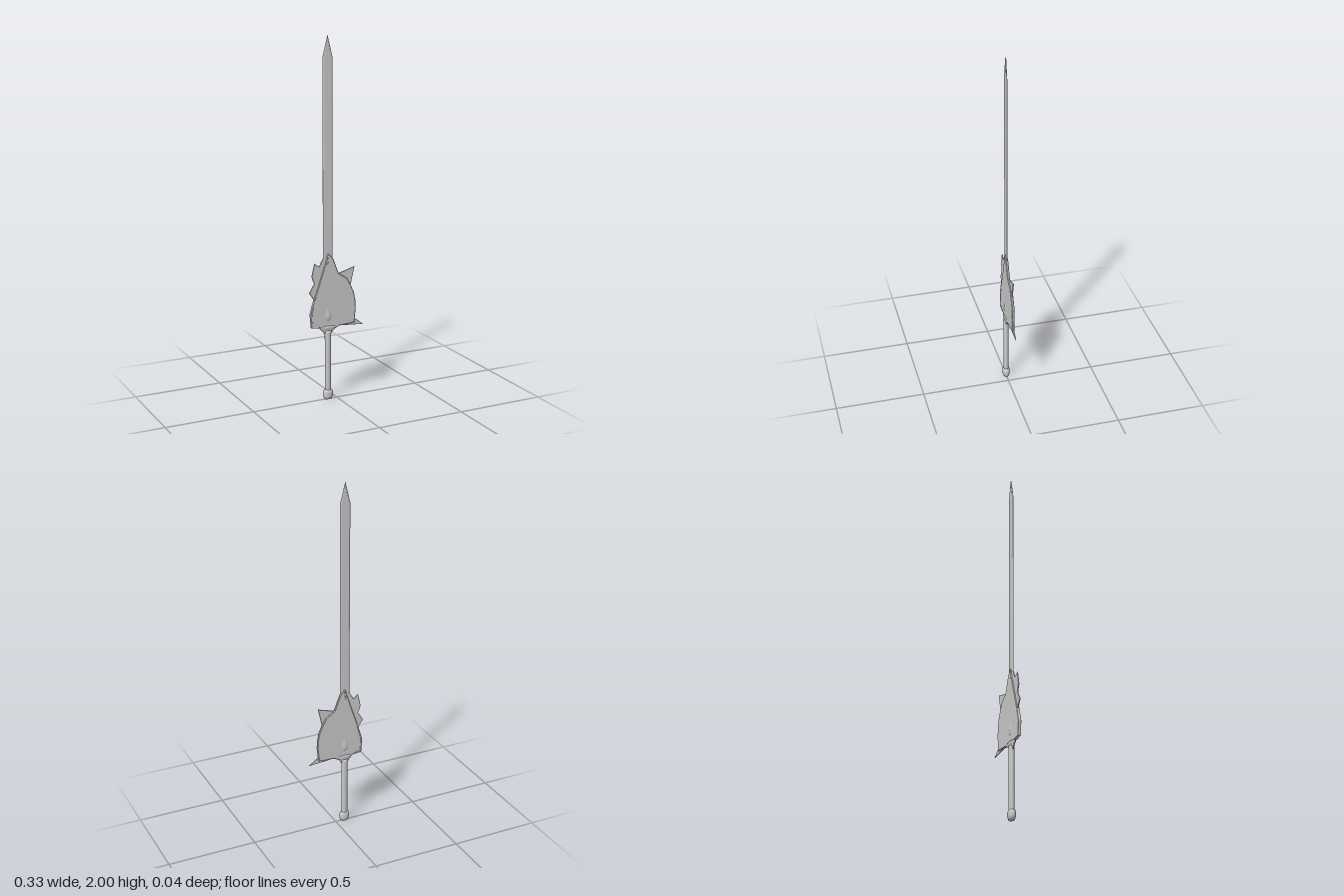
import * as THREE from 'three';

const AXIS = -0.054; // x of blade and grip
const mat = new THREE.MeshStandardMaterial({ color: 0xcccccc, flatShading: true });
const smooth = new THREE.MeshStandardMaterial({ color: 0xcccccc });

// Flat plate centred on z = 0, with chamfered edges inside its outline
function plate(name, points, half, bevel, chamfer) {
  const shape = new THREE.Shape(points.map(([x, y]) => new THREE.Vector2(x, y)));
  const geo = new THREE.ExtrudeGeometry(shape, {
    depth: 2 * (half - chamfer), bevelEnabled: true, bevelSegments: 1,
    bevelThickness: chamfer, bevelSize: bevel, bevelOffset: -bevel,
  });
  geo.translate(0, 0, chamfer - half);
  const mesh = new THREE.Mesh(geo, mat);
  mesh.name = name;
  return mesh;
}

// Turned part on the sword axis, flattened in z
function turned(name, profile, zScale, sides = 24) {
  const geo = new THREE.LatheGeometry(profile.map(([r, y]) => new THREE.Vector2(r, y)), sides);
  geo.scale(1, 1, zScale);
  geo.translate(AXIS, 0, 0);
  const mesh = new THREE.Mesh(geo, smooth);
  mesh.name = name;
  return mesh;
}

export function createModel() {
  const sword = new THREE.Group();
  sword.name = 'sword';

  // Long bevelled blade
  sword.add(plate('blade', [
    [-0.083, 0.6], [-0.025, 0.6], [-0.025, 1.885], [AXIS, 2], [-0.083, 1.885],
  ], 0.003, 0.008, 0.0025));

  // Thick guard body, peaking over the base of the blade
  sword.add(plate('guardBody', [
    [AXIS, 0.83], [-0.024, 0.8], [0.01, 0.712], [0.06, 0.68], [0.085, 0.635],
    [0.103, 0.595], [0.112, 0.55], [0.115, 0.5], [0.106, 0.42],
    [0.01, 0.414], [-0.03, 0.392], [-0.078, 0.392], [-0.107, 0.418],
    [-0.155, 0.423], [-0.161, 0.5], [-0.135, 0.59], [-0.09, 0.72],
  ], 0.007, 0.004, 0.003));

  // Thin points behind the guard body
  sword.add(plate('leftWing', [
    [-0.024, 0.79], [0.01, 0.712], [0.108, 0.74], [0.084, 0.635], [0.02, 0.6],
  ], 0.003, 0.002, 0.002));
  sword.add(plate('lowerSpike', [
    [0.03, 0.413], [0.163, 0.403], [0.106, 0.447], [0.05, 0.47],
  ], 0.0025, 0.002, 0.0015));
  sword.add(plate('rightFeathers', [
    [-0.08, 0.81], [-0.107, 0.762], [-0.135, 0.782], [-0.152, 0.71],
    [-0.137, 0.668], [-0.167, 0.62], [-0.137, 0.575], [-0.07, 0.57],
  ], 0.003, 0.002, 0.002));

  // Raised rim along the right lower edge
  sword.add(plate('sideRim', [
    [-0.155, 0.421], [-0.161, 0.5], [-0.13, 0.605], [-0.125, 0.6],
    [-0.152, 0.5], [-0.147, 0.43], [-0.11, 0.425], [-0.107, 0.415],
  ], 0.0085, 0.001, 0.001));

  // Teardrop boss on both faces, and the ridge below the blade
  sword.add(turned('teardrop', [
    [0, 0.448], [0.016, 0.45], [0.026, 0.465], [0.025, 0.485],
    [0.017, 0.52], [0.008, 0.565], [0, 0.6],
  ], 0.43));
  sword.add(plate('bladeRidge', [
    [-0.066, 0.765], [-0.055, 0.77], [-0.048, 0.825], [-0.06, 0.82],
  ], 0.0085, 0.002, 0.002));

  // Flared collar, grip and pommel
  sword.add(turned('collar', [
    [0, 0.372], [0.02, 0.374], [0.03, 0.39], [0.05, 0.412], [0.046, 0.42], [0, 0.425],
  ], 0.27));
  sword.add(turned('grip', [
    [0, 0.03], [0.018, 0.03], [0.018, 0.375], [0.02, 0.38], [0.02, 0.395], [0, 0.4],
  ], 0.76));
  sword.add(turned('pommel', [
    [0, 0], [0.022, 0.002], [0.025, 0.012], [0.029, 0.018],
    [0.029, 0.042], [0.024, 0.052], [0.017, 0.055],
  ], 0.7));

  return sword;
}
